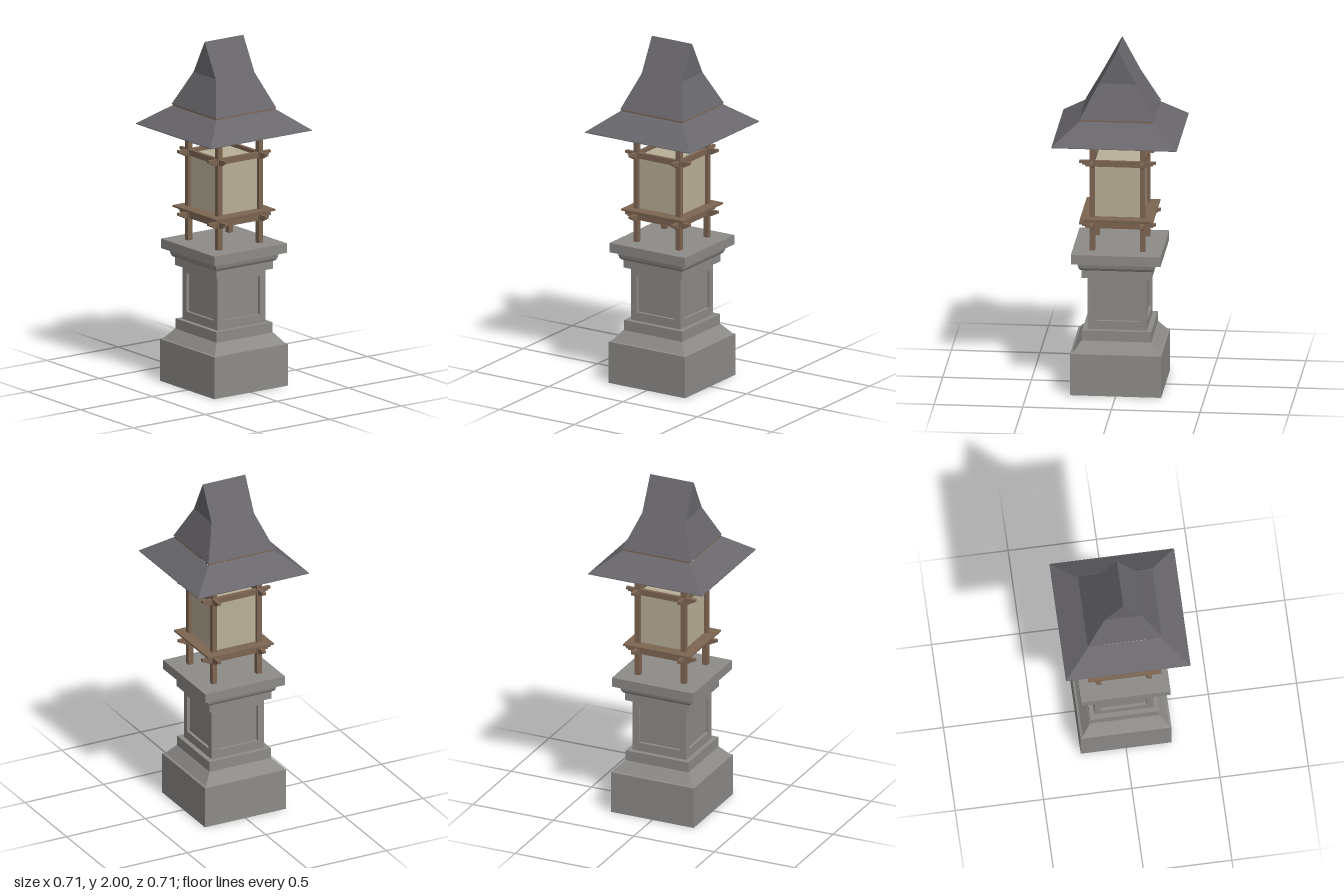
import * as THREE from 'three';

const mat = (name, color) => {
  const m = new THREE.MeshStandardMaterial({ color, side: THREE.DoubleSide });
  m.name = name;
  return m;
};

export function createModel() {
  const model = new THREE.Group();
  model.name = 'stoneLantern';
  const stone = mat('stone grey', 0x8d8b88);
  const slate = mat('slate roof', 0x69676c);
  const wood = mat('brown wood', 0x7d6552);
  const paper = mat('cream panel', 0xb8af97);

  const add = (name, geometry, material, parent = model) => {
    const mesh = new THREE.Mesh(geometry, material);
    mesh.name = name;
    parent.add(mesh);
    return mesh;
  };
  const flat = (geometry) => {
    const g = geometry.index ? geometry.toNonIndexed() : geometry;
    g.computeVertexNormals();
    return g;
  };
  // Square solid from a profile of [half width, height], listed bottom to top
  const square = (profile) => flat(new THREE.LatheGeometry(
    profile.map(([h, y]) => new THREE.Vector2(h * Math.SQRT2, y)), 4, Math.PI / 4));
  const box = (w, h, d, x, y, z) => new THREE.BoxGeometry(w, h, d).translate(x, y, z);
  const shapeOf = (pts) => new THREE.Shape(pts.map(([x, y]) => new THREE.Vector2(x, y)));

  // Pedestal foot, shaft core and cap
  add('pedestalBase', square([[0, 0], [0.257, 0], [0.257, 0.243], [0.245, 0.247], [0.198, 0.305],
    [0.195, 0.305], [0.195, 0.365], [0, 0.365]]), stone);
  add('pedestalShaft', square([[0.15, 0.36], [0.15, 0.68]]), stone);
  add('pedestalCap', square([[0, 0.675], [0.197, 0.675], [0.197, 0.72], [0.206, 0.724], [0.214, 0.737],
    [0.218, 0.755], [0.22, 0.77], [0.253, 0.77], [0.253, 0.825], [0, 0.825]]), stone);

  // Frames around the sunken shaft panels
  const frame = shapeOf([[-0.167, 0.365], [0.167, 0.365], [0.167, 0.675], [-0.167, 0.675]]);
  frame.holes.push(new THREE.Path([[-0.127, 0.415], [-0.127, 0.635], [0.127, 0.635], [0.127, 0.415]]
    .map(([x, y]) => new THREE.Vector2(x, y))));
  const frameGeo = new THREE.ExtrudeGeometry(frame, { depth: 0.018, bevelEnabled: false });
  frameGeo.translate(0, 0, 0.149);
  for (let i = 0; i < 4; i++) add('shaftPanelFrame', frameGeo, stone).rotation.y = i * Math.PI / 2;

  // Corner posts
  for (const x of [-0.142, 0.142]) {
    for (const z of [-0.142, 0.142]) add('post', box(0.03, 0.775, 0.03, x, 1.2125, z), wood);
  }

  // Crossing rails with stepped ends, and hidden beams at the post tops
  const end = [[0.215, 0.017], [0.215, 0.002], [0.2, 0.002], [0.2, -0.006], [0.185, -0.006], [0.178, -0.017]];
  const railShape = shapeOf([...end, ...end.map(([x, y]) => [-x, y]).reverse()]);
  const railGeo = new THREE.ExtrudeGeometry(railShape, { depth: 0.02, bevelEnabled: false });
  railGeo.translate(0, 0, 0.132);
  for (let i = 0; i < 4; i++) {
    for (const [name, y] of [['lowerRail', 0.972], ['upperRail', 1.335]]) {
      const rail = add(name, railGeo, wood);
      rail.position.y = y;
      rail.rotation.y = i * Math.PI / 2;
    }
    add('topBeam', box(0.284, 0.025, 0.02, 0, 1.485, 0.142), wood).rotation.y = i * Math.PI / 2;
  }

  // Ledge around the lamp box
  add('ledge', square([[0.13, 1.0], [0.185, 1.0], [0.187, 1.008], [0.207, 1.012], [0.207, 1.022],
    [0.13, 1.022]]), wood);
  add('lampBox', box(0.276, 0.332, 0.276, 0, 1.164, 0), paper);

  // Eaves: underside, inner frame and lower roof skirt
  add('soffit', square([[0.2, 1.484], [0.353, 1.484]]), wood);
  add('eaveFrame', square([[0.2, 1.49], [0.2, 1.465], [0.248, 1.465], [0.262, 1.484]]), wood);
  add('lowerRoof', square([[0.353, 1.484], [0.353, 1.488], [0.208, 1.6]]), slate);
  add('roofTrim', square([[0, 1.599], [0.206, 1.599], [0.206, 1.61], [0, 1.61]]), wood);
  add('ceiling', box(0.39, 0.004, 0.39, 0, 1.596, 0), paper);

  // Upper roof: two long slopes, two end slopes with upright gables
  const b = 0.21, s = 0.105, r = 0.135;
  const faces = [
    [[-b, 1.609, b], [b, 1.609, b], [s, 1.805, r], [-s, 1.805, r]],
    [[-s, 1.805, r], [s, 1.805, r], [0, 2, r]],
    [[b, 1.609, b], [b, 1.609, -b], [s, 1.805, -r], [0, 2, -r], [0, 2, r], [s, 1.805, r]],
  ];
  const pos = [];
  for (const f of faces) {
    // Fan from the last corner
    const apex = f[f.length - 1];
    for (let i = 0; i < f.length - 2; i++) pos.push(...apex, ...f[i], ...f[i + 1]);
  }
  const half = new THREE.BufferGeometry();
  half.setAttribute('position', new THREE.Float32BufferAttribute(pos, 3));
  half.computeVertexNormals();
  for (let i = 0; i < 2; i++) add('upperRoof', half, slate).rotation.y = i * Math.PI;

  return model;
}
